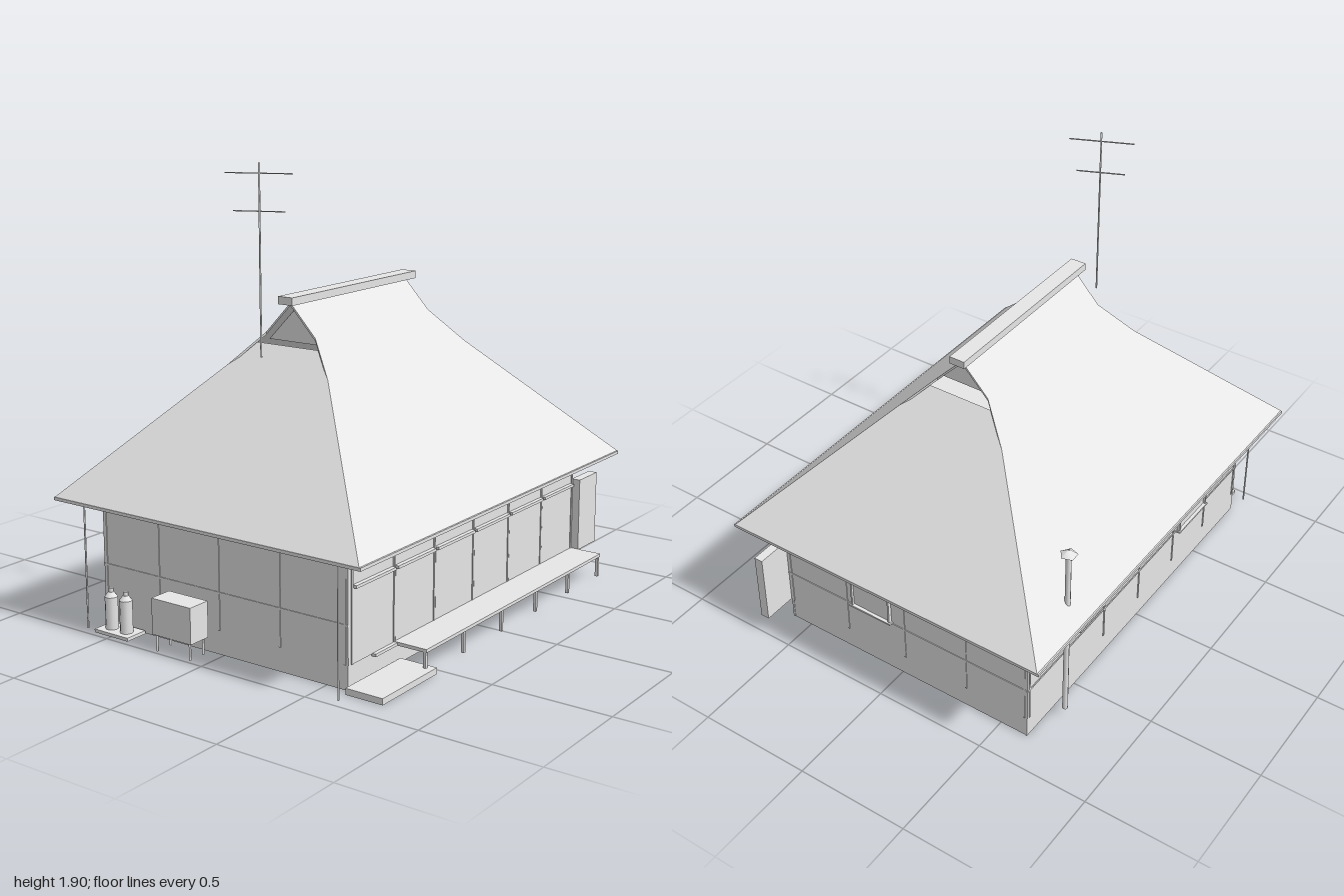
import * as THREE from 'three';

export function createModel() {
  const root = new THREE.Group();
  root.name = 'farmhouse';
  const grey = new THREE.MeshStandardMaterial({ color: 0xe6e6e6, side: THREE.DoubleSide });
  grey.name = 'plain light grey';

  const add = (name, geo, x = 0, y = 0, z = 0, parent = root) => {
    const m = new THREE.Mesh(geo, grey);
    m.name = name;
    m.position.set(x, y, z);
    parent.add(m);
    return m;
  };
  // box given by its limits on each axis
  const box = (name, x0, x1, y0, y1, z0, z1, parent) =>
    add(name, new THREE.BoxGeometry(x1 - x0, y1 - y0, z1 - z0),
      (x0 + x1) / 2, (y0 + y1) / 2, (z0 + z1) / 2, parent);
  const rod = (name, r, x, y0, y1, z, sides = 6) =>
    add(name, new THREE.CylinderGeometry(r, r, y1 - y0, sides), x, (y0 + y1) / 2, z);
  // surface through rows of two points each, from bottom to top
  const strip = (rows) => {
    const pos = [];
    for (let i = 0; i + 1 < rows.length; i++) {
      const [a, b] = rows[i], [d, c] = rows[i + 1];
      pos.push(...a, ...b, ...c, ...a, ...c, ...d);
    }
    const g = new THREE.BufferGeometry();
    g.setAttribute('position', new THREE.Float32BufferAttribute(pos, 3));
    g.computeVertexNormals();
    return g;
  };

  // house body, reaching up inside the roof, on a hollow foundation
  const L = -0.865, R = 0.85, F = 0.6, B = -0.63;
  box('walls', L, R, 0.1, 0.65, B, F);
  box('foundationFront', L, R, 0, 0.1, F - 0.012, F - 0.002);
  box('foundationBack', L, R, 0, 0.1, B + 0.002, B + 0.012);
  box('foundationLeft', L + 0.002, L + 0.012, 0, 0.1, B + 0.012, F - 0.012);
  box('foundationRight', R - 0.012, R - 0.002, 0, 0.1, B + 0.012, F - 0.012);

  // hipped thatch roof with open gables
  const roof = new THREE.Group();
  roof.name = 'roof';
  roof.position.set(-0.0075, 0, -0.009);
  root.add(roof);
  const levels = [[0.547, 0.993, 0.754], [1.07, 0.497, 0.252], [1.205, 0.405, 0.123], [1.335, 0.405, 0]];
  const slope = strip(levels.map(([y, x, z]) => [[-x, y, z], [x, y, z]]));
  const hip = strip([[0.547, 0.993, 0.754], [1.07, 0.497, 0.252], [1.16, 0.412, 0.166]]
    .map(([y, x, z]) => [[x, y, z], [x, y, -z]]));
  const gable = strip([[[0.33, 1.16, 0.165], [0.33, 1.16, -0.165]], [[0.33, 1.33, 0], [0.33, 1.33, 0]]]);
  const edge = levels.slice(1);
  const rake = strip(edge.map(([y, x, z]) => [[x, y - 0.012, z], [x, y, z]]));
  const rakeBack = strip(edge.map(([y, x, z]) => [[x, y, -z], [x, y - 0.012, -z]]));
  for (const turn of [0, Math.PI]) {
    const half = new THREE.Group();
    half.name = turn ? 'roofBackLeft' : 'roofFrontRight';
    half.rotation.y = turn;
    roof.add(half);
    add('mainSlope', slope, 0, 0, 0, half);
    add('hipSlope', hip, 0, 0, 0, half);
    add('gableWall', gable, 0, 0, 0, half);
    add('gableEdge', rake, 0, 0, 0, half);
    add('gableEdge', rakeBack, 0, 0, 0, half);
    box('longEave', -0.993, 0.993, 0.533, 0.546, 0.744, 0.76, half);
    box('sideEave', 0.978, 0.993, 0.533, 0.546, -0.754, 0.754, half);
  }
  box('ridgeCap', -0.4375, 0.4375, 1.33, 1.362, -0.035, 0.035, roof);

  // wall timbers in low relief
  const t = 0.003;
  const postX = [-0.845, -0.57, -0.29, 0, 0.28, 0.56, 0.835];
  for (const x of postX) {
    box('backPost', x - 0.004, x + 0.004, 0.1, 0.53, B - t, B);
    box('frontPost', x - 0.004, x + 0.004, 0.1, 0.53, F, F + 0.006);
  }
  for (const z of [-0.615, -0.33, -0.02, 0.28, 0.585]) {
    box('leftPost', L - t, L, 0.1, 0.53, z - 0.004, z + 0.004);
    box('rightPost', R, R + t, 0.1, 0.53, z - 0.004, z + 0.004);
  }
  for (const y of [0.255, 0.525]) {
    box('backRail', L, R, y - 0.004, y + 0.004, B - t, B);
    box('leftRail', L - t, L, y - 0.004, y + 0.004, B, F);
    box('rightRail', R, R + t, y - 0.004, y + 0.004, B, F);
  }

  // sliding doors with lintels above
  for (let i = 0; i < 6; i++) {
    const a = postX[i] + 0.008, b = postX[i + 1] - 0.008;
    box('slidingDoor', a, b, 0.1, 0.395, F, F + 0.004);
    box('lintel', a, b, 0.395, 0.407, F, F + 0.018);
    box('topRail', a, b, 0.518, 0.528, F, F + 0.018);
  }
  box('doorSill', -0.715, 0.84, 0.09, 0.102, F, F + 0.02);
  box('shutterBox', 0.84, 1.0, 0.1, 0.425, F, 0.64);

  // framed windows: centre, width, height and turn
  const windows = [
    [R, 0.338, 0.145, 0.2, 0.155, Math.PI / 2],
    [0.405, 0.353, B, 0.165, 0.115, Math.PI],
    [-0.44, 0.325, B, 0.235, 0.16, Math.PI],
  ];
  for (const [x, y, z, w, h, turn] of windows) {
    const win = new THREE.Group();
    win.name = 'window';
    win.position.set(x, y, z);
    win.rotation.y = turn;
    root.add(win);
    for (const s of [-1, 1]) {
      const u = s * (w / 2 - 0.004);
      box('windowSide', u - 0.004, u + 0.004, -h / 2, h / 2, 0, 0.015, win);
    }
    box('windowHead', -w / 2, w / 2, h / 2 - 0.008, h / 2, 0, 0.015, win);
    box('windowSill', -w / 2 - 0.006, w / 2 + 0.006, -h / 2, -h / 2 + 0.008, 0, 0.02, win);
    box('windowPane', -w / 2, w / 2, -h / 2, h / 2, 0, 0.005, win);
  }

  // veranda and entrance step
  box('verandaDeck', -0.57, 0.84, 0.09, 0.104, F, 0.752);
  for (const x of [-0.563, -0.29, 0, 0.28, 0.56, 0.833])
    box('verandaLeg', x - 0.006, x + 0.006, 0, 0.09, 0.735, 0.748);
  box('entranceStep', -0.897, -0.535, 0, 0.026, 0.61, 0.777);

  // downpipes at the left corners
  for (const z of [0.62, -0.645]) rod('downpipe', 0.004, -0.955, 0, 0.54, z);

  // oil tank on legs
  box('oilTank', -0.99, -0.887, 0.07, 0.22, -0.26, -0.06);
  for (const x of [-0.978, -0.9])
    for (const z of [-0.245, -0.075]) rod('tankLeg', 0.005, x, 0, 0.07, z);

  // gas bottles on a slab
  box('gasSlab', -0.975, -0.87, 0, 0.014, -0.59, -0.41);
  for (const z of [-0.54, -0.46]) {
    rod('gasBottle', 0.027, -0.925, 0.014, 0.15, z, 10);
    add('gasBottleShoulder', new THREE.CylinderGeometry(0.012, 0.027, 0.02, 10), -0.925, 0.16, z);
    rod('gasValve', 0.011, -0.925, 0.17, 0.185, z, 8);
  }

  // stovepipe behind the house
  rod('stovepipe', 0.012, 0.665, 0.04, 0.875, -0.69, 8);
  add('stovepipeCap', new THREE.ConeGeometry(0.037, 0.025, 5), 0.665, 0.883, -0.69);

  // aerial
  rod('aerialMast', 0.004, -0.6, 1.145, 1.9, -0.008);
  for (const [y, len] of [[1.86, 0.27], [1.715, 0.205]])
    add('aerialBar', new THREE.BoxGeometry(0.004, 0.004, len), -0.6, y, -0.01).rotation.y = 0.41;

  return root;
}
